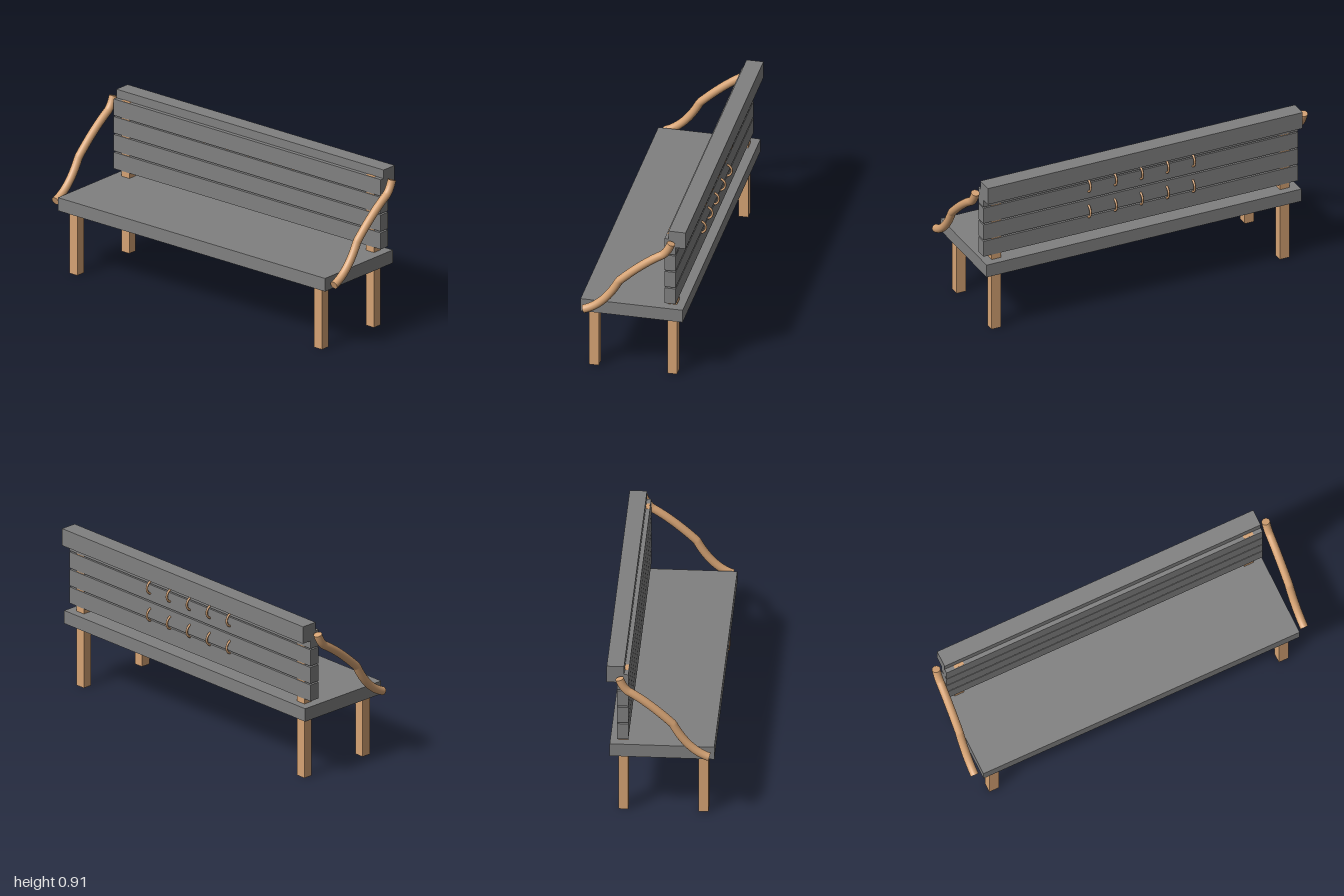
import * as THREE from 'three';

const slatMat = new THREE.MeshStandardMaterial({ color: 0x808080 });
const woodMat = new THREE.MeshStandardMaterial({ color: 0xd6a374 });

// Box given by its extents on each axis
function box(name, mat, [x0, x1], [y0, y1], [z0, z1]) {
  const mesh = new THREE.Mesh(new THREE.BoxGeometry(x1 - x0, y1 - y0, z1 - z0), mat);
  mesh.position.set((x0 + x1) / 2, (y0 + y1) / 2, (z0 + z1) / 2);
  mesh.name = name;
  return mesh;
}

// Curved armrest: three quadratic bends joined at two slight kinks, with closed ends
function armrest(name, x) {
  const radius = 0.023;
  const v = (z, y) => new THREE.Vector3(x, y, z);
  const path = new THREE.CurvePath();
  [
    [v(0.263, 0.393), v(0.149, 0.434), v(0.07, 0.59)],
    [v(0.07, 0.59), v(-0.063, 0.72), v(-0.171, 0.783)],
    [v(-0.171, 0.783), v(-0.2, 0.807), v(-0.217, 0.858)],
  ].forEach((p) => path.add(new THREE.QuadraticBezierCurve3(...p)));

  const group = new THREE.Group();
  group.name = name;
  group.add(new THREE.Mesh(new THREE.TubeGeometry(path, 64, radius, 20), woodMat));
  for (const t of [0, 1]) {
    const cap = new THREE.Mesh(new THREE.CircleGeometry(radius, 20), woodMat);
    const outward = path.getTangentAt(t).multiplyScalar(t ? 1 : -1);
    cap.position.copy(path.getPointAt(t));
    cap.quaternion.setFromUnitVectors(new THREE.Vector3(0, 0, 1), outward);
    cap.name = 'armrestEnd';
    group.add(cap);
  }
  return group;
}

export function createModel() {
  const bench = new THREE.Group();
  bench.name = 'bench';
  const width = [-0.937, 0.937];

  // Seat, top rail and back slats
  bench.add(box('seat', slatMat, width, [0.355, 0.43], [-0.272, 0.289]));
  bench.add(box('topRail', slatMat, width, [0.812, 0.91], [-0.288, -0.195]));
  for (const y of [0.462, 0.564, 0.666, 0.767]) {
    bench.add(box('backSlat', slatMat, width, [y, y + 0.094], [-0.233, -0.172]));
  }

  // Legs, rear posts and armrests on both sides
  for (const [side, s] of [['left', 1], ['right', -1]]) {
    const x = s > 0 ? [0.83, 0.886] : [-0.886, -0.83];
    bench.add(box(side + 'FrontLeg', woodMat, x, [0, 0.356], [0.2, 0.255]));
    bench.add(box(side + 'BackPost', woodMat, x, [0, 0.862], [-0.229, -0.176]));
    bench.add(armrest(side + 'Armrest', s * 0.977));
  }

  // Two rows of rings lacing the slats together
  const ringGeo = new THREE.TorusGeometry(0.037, 0.006, 10, 32);
  for (const y of [0.743, 0.586]) {
    for (let i = -2; i <= 2; i++) {
      const ring = new THREE.Mesh(ringGeo, woodMat);
      ring.name = 'slatRing';
      ring.rotation.y = Math.PI / 2;
      ring.position.set(i * 0.155, y, -0.22);
      bench.add(ring);
    }
  }
  return bench;
}
